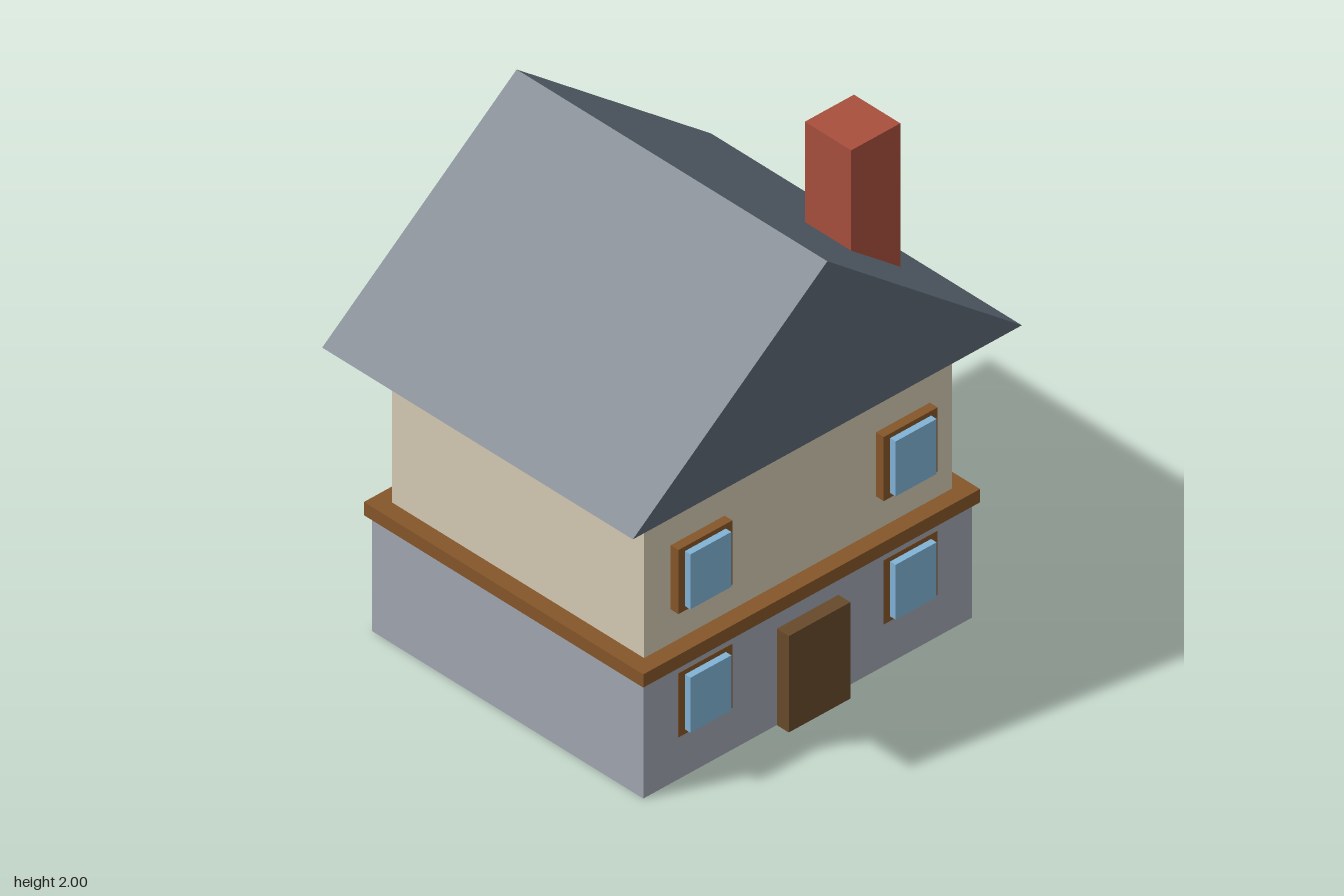
import * as THREE from 'three';

const mat = (name, color, extra = {}) => {
  const m = new THREE.MeshStandardMaterial({ color, ...extra });
  m.name = name;
  return m;
};

export function createModel() {
  const house = new THREE.Group();
  house.name = 'house';

  const stone = mat('grey stone', 0xa0a6b0);
  const plaster = mat('cream plaster', 0xd4cab4);
  const slate = mat('slate', 0x5c6873, { side: THREE.DoubleSide });
  const brick = mat('red brick', 0xa84f3c);
  const timber = mat('brown timber', 0x85572a);
  const doorWood = mat('dark door wood', 0x684a2a);
  const glass = mat('blue glass', 0x80b3d6);

  // Box given by its lower and upper limits on each axis
  const box = (name, material, [x0, x1], [y0, y1], [z0, z1], parent = house) => {
    const mesh = new THREE.Mesh(new THREE.BoxGeometry(x1 - x0, y1 - y0, z1 - z0), material);
    mesh.position.set((x0 + x1) / 2, (y0 + y1) / 2, (z0 + z1) / 2);
    mesh.name = name;
    parent.add(mesh);
  };

  // Storeys and the timber band between them
  box('lowerStorey', stone, [-0.762, 0.762], [0, 0.48], [-0.666, 0.666]);
  box('floorBand', timber, [-0.781, 0.781], [0.48, 0.535], [-0.686, 0.686]);
  box('upperStorey', plaster, [-0.714, 0.714], [0.535, 1.195], [-0.619, 0.619]);

  // Hollow gable roof, open underneath: two slopes and two gable ends
  const w = 0.902, d = 0.763, eave = 1.195, ridge = 1.905;
  const faces = [
    ['rightSlope', [w, eave, d], [w, eave, -d], [0, ridge, -d], [0, ridge, d]],
    ['leftSlope', [-w, eave, -d], [-w, eave, d], [0, ridge, d], [0, ridge, -d]],
    ['frontGable', [-w, eave, d], [w, eave, d], [0, ridge, d]],
    ['backGable', [w, eave, -d], [-w, eave, -d], [0, ridge, -d]],
  ];
  const roof = new THREE.Group();
  roof.name = 'roof';
  for (const [name, ...corners] of faces) {
    const geo = new THREE.BufferGeometry();
    geo.setAttribute('position', new THREE.Float32BufferAttribute(corners.flat(), 3));
    geo.setIndex(corners.length === 4 ? [0, 1, 2, 0, 2, 3] : [0, 1, 2]);
    geo.computeVertexNormals();
    const mesh = new THREE.Mesh(geo, slate);
    mesh.name = name;
    roof.add(mesh);
  }
  house.add(roof);

  // Chimney runs through the roof
  box('chimney', brick, [0.408, 0.636], [1.2, 2], [0.22, 0.448]);

  box('door', doorWood, [-0.143, 0.143], [0, 0.4], [0.64, 0.725]);

  // Two windows on each storey, frame behind a proud pane
  for (const [storey, y] of [['lower', 0.308], ['upper', 0.82]]) {
    for (const [side, x] of [['Left', 0.476], ['Right', -0.476]]) {
      const win = new THREE.Group();
      win.name = `${storey}${side}Window`;
      box('windowFrame', timber, [x - 0.125, x + 0.125], [y - 0.133, y + 0.133], [0.63, 0.668], win);
      box('windowPane', glass, [x - 0.095, x + 0.095], [y - 0.114, y + 0.114], [0.64, 0.695], win);
      house.add(win);
    }
  }
  return house;
}
